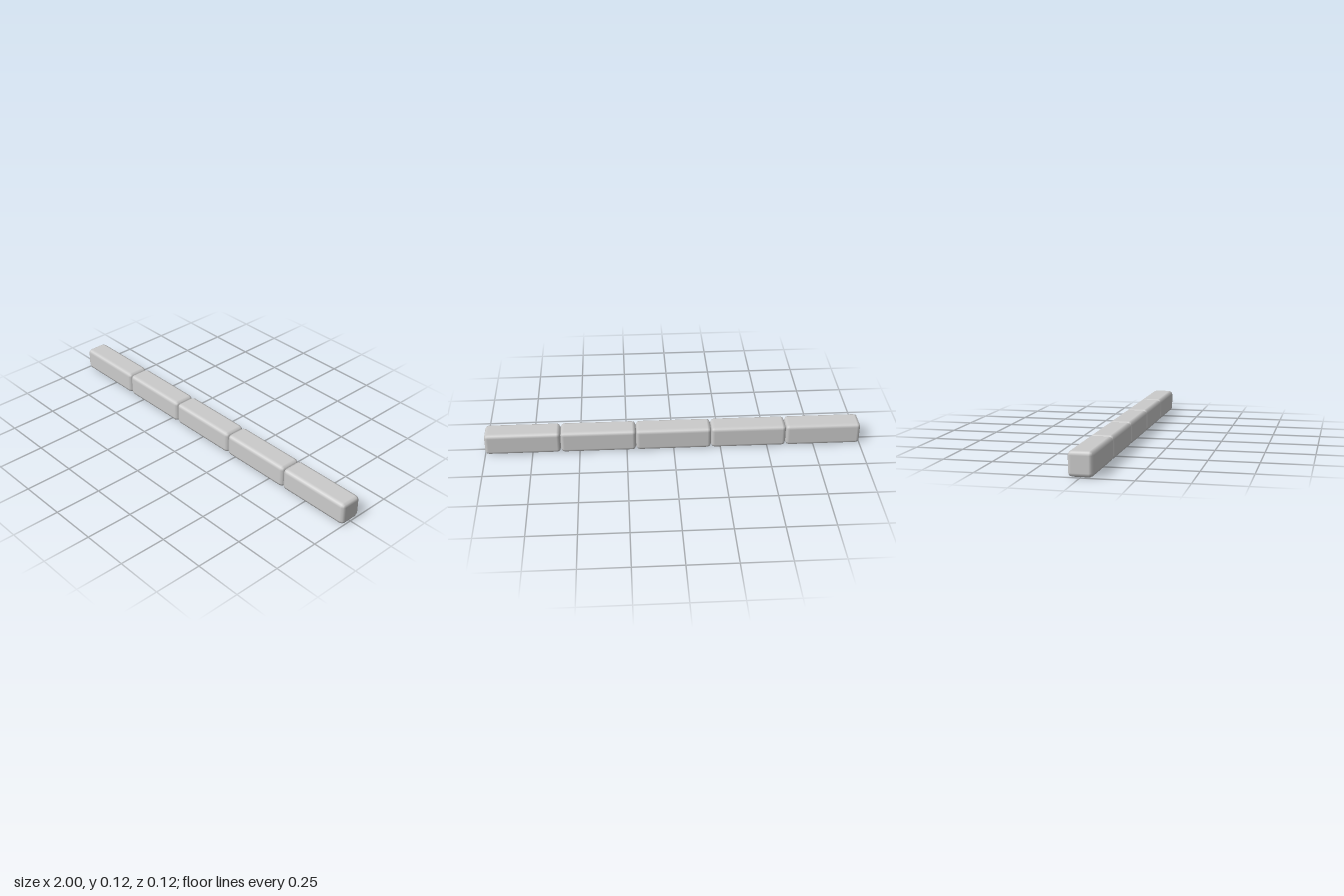
import * as THREE from 'three';
import { RoundedBoxGeometry } from 'three/addons/geometries/RoundedBoxGeometry.js';

const COUNT = 5;
const LENGTH = 0.4;
const THICKNESS = 0.12;
const BEVEL = 0.02;

export function createModel() {
  const model = new THREE.Group();
  model.name = 'blockRow';
  const material = new THREE.MeshStandardMaterial({ color: 0xcccccc });

  // One softly bevelled block, shared by the whole row
  const block = new RoundedBoxGeometry(LENGTH, THICKNESS, THICKNESS, 1, BEVEL);

  // Blocks laid end to end along x
  for (let i = 0; i < COUNT; i++) {
    const mesh = new THREE.Mesh(block, material);
    mesh.name = `block${i + 1}`;
    mesh.position.set((i - (COUNT - 1) / 2) * LENGTH, THICKNESS / 2, 0);
    model.add(mesh);
  }
  return model;
}
